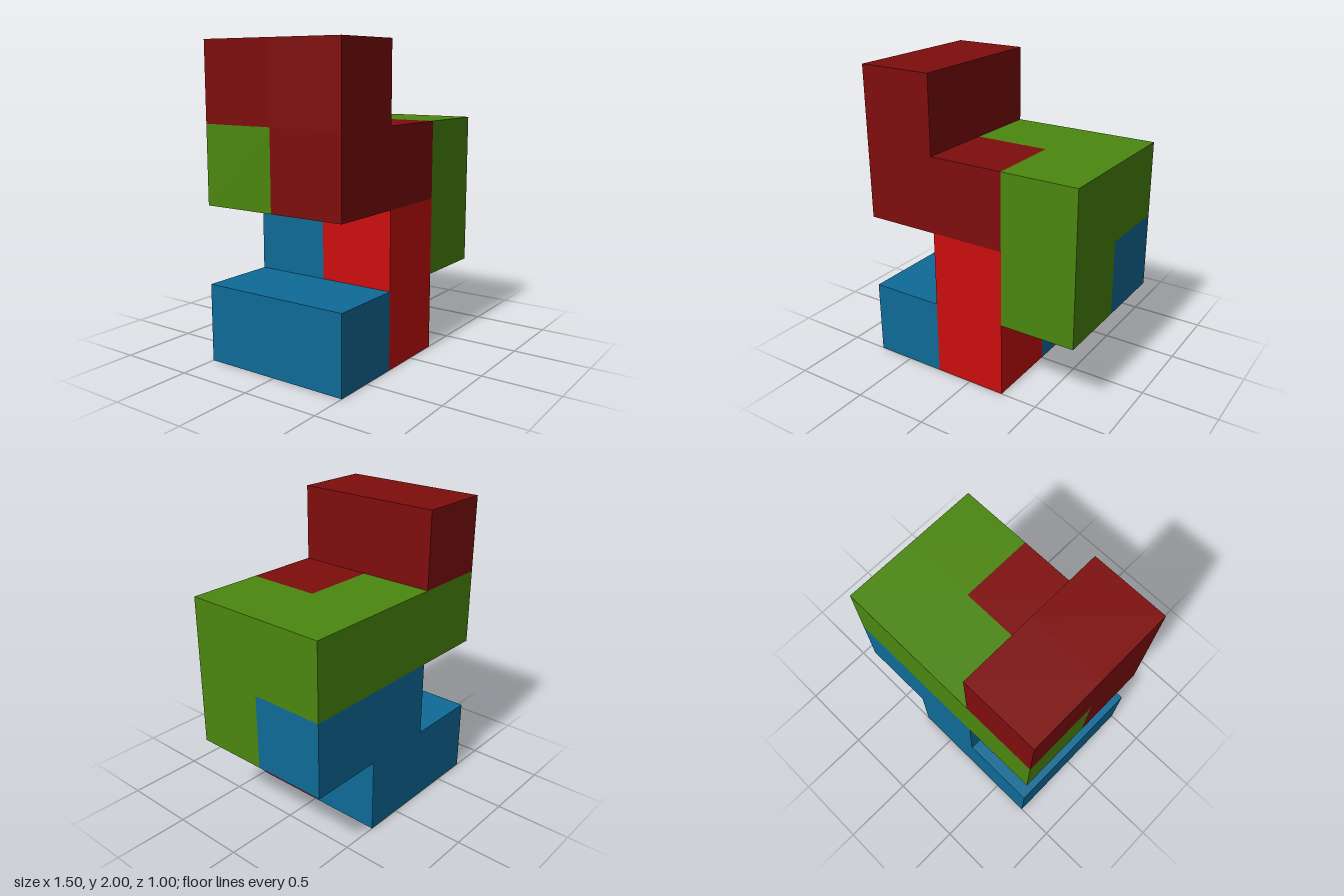
import * as THREE from 'three';
import { mergeGeometries } from 'three/addons/utils/BufferGeometryUtils.js';

const UNIT = 0.5;

const material = (name, color) => {
  const m = new THREE.MeshStandardMaterial({ color });
  m.name = name;
  return m;
};

// Outward directions of a cube's six faces, with the turn that aims a +z plane that way
const SIDES = [
  { dir: [1, 0, 0], rot: [0, Math.PI / 2, 0] },
  { dir: [-1, 0, 0], rot: [0, -Math.PI / 2, 0] },
  { dir: [0, 1, 0], rot: [-Math.PI / 2, 0, 0] },
  { dir: [0, -1, 0], rot: [Math.PI / 2, 0, 0] },
  { dir: [0, 0, 1], rot: [0, 0, 0] },
  { dir: [0, 0, -1], rot: [0, Math.PI, 0] },
];

// Closed shell around a set of unit cells, without walls between cells of the same piece
function polycube(cells) {
  const filled = new Set(cells.map(String));
  const faces = [];
  for (const cell of cells) {
    // Columns run -1..1 in x, layers 0..3 in y, rows 0 (back) and 1 (front) in z
    const centre = [cell[0], cell[1] + 0.5, cell[2] - 0.5];
    for (const { dir, rot } of SIDES) {
      if (filled.has(String(cell.map((c, i) => c + dir[i])))) continue;
      const face = new THREE.PlaneGeometry(UNIT, UNIT);
      face.rotateX(rot[0]).rotateY(rot[1]);
      face.translate(...centre.map((c, i) => (c + dir[i] / 2) * UNIT));
      faces.push(face);
    }
  }
  return mergeGeometries(faces);
}

export function createModel() {
  const group = new THREE.Group();
  group.name = 'interlockingBlocks';

  const pieces = [
    // Base with a step rising at the back
    { name: 'bluePiece', mat: material('blue', 0x0e6b98),
      cells: [[-1, 0, 1], [-1, 0, 0], [0, 0, 0], [0, 1, 0], [1, 1, 0]] },
    // Upright post at the front
    { name: 'redPiece', mat: material('red', 0xcc0d0d),
      cells: [[0, 0, 1], [0, 1, 1]] },
    // Bent piece along the back and down the left side
    { name: 'greenPiece', mat: material('green', 0x4b870f),
      cells: [[-1, 2, 0], [0, 2, 0], [1, 2, 0], [1, 2, 1], [1, 1, 1]] },
    // Top bar with a step down to the front
    { name: 'darkRedPiece', mat: material('darkRed', 0x7f0d0d),
      cells: [[-1, 3, 0], [-1, 3, 1], [-1, 2, 1], [0, 2, 1]] },
  ];

  for (const { name, mat, cells } of pieces) {
    const mesh = new THREE.Mesh(polycube(cells), mat);
    mesh.name = name;
    group.add(mesh);
  }
  return group;
}
